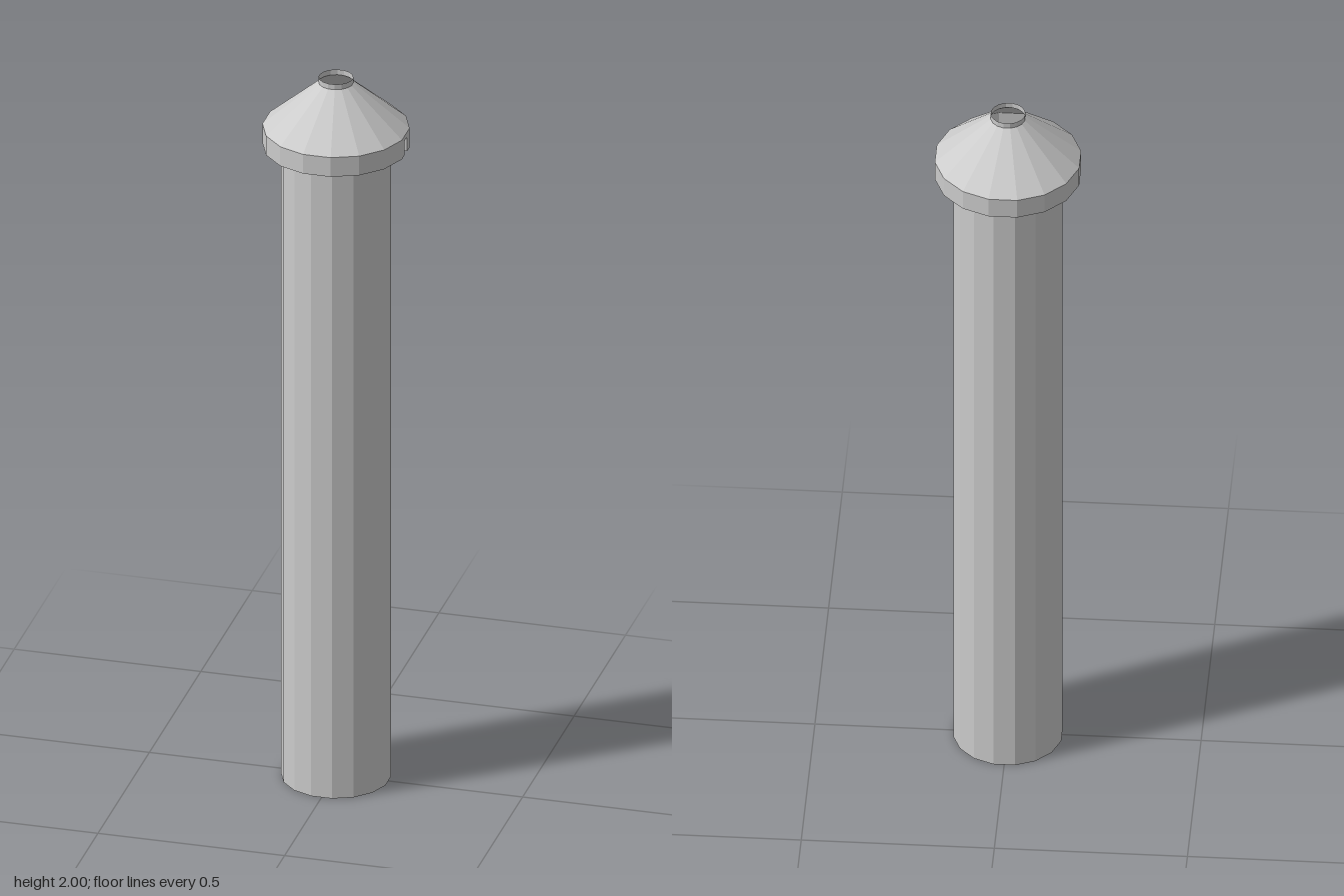
import * as THREE from 'three';

const SIDES = 16;
const STEP = (Math.PI * 2) / SIDES;

export function createModel() {
  const group = new THREE.Group();
  const material = new THREE.MeshStandardMaterial({
    color: 0xcccccc, flatShading: true, side: THREE.DoubleSide,
  });

  const add = (name, geometry) => {
    const mesh = new THREE.Mesh(geometry, material);
    mesh.name = name;
    group.add(mesh);
  };
  // Faceted ring from [radius, height] points, with flats facing the axes
  const ring = (name, profile, start = STEP / 2, count = SIDES) => {
    const points = profile.map(([r, y]) => new THREE.Vector2(r, y));
    const lathe = new THREE.LatheGeometry(points, count, start, count * STEP).toNonIndexed();
    lathe.computeVertexNormals();
    add(name, lathe);
  };

  // Hollow shaft, open at the bottom
  ring('shaft', [[0.1425, 0], [0.1425, 1.805]]);

  // Rim of the cap: underside and band, leaving out the facet facing +x
  ring('capRim', [[0.1425, 1.805], [0.1905, 1.805], [0.1905, 1.86]], STEP * 4.5, SIDES - 1);

  // Sloping cap and the short open neck above it
  ring('capCone', [[0.1905, 1.86], [0.045, 1.985]]);
  ring('neck', [[0.045, 1.985], [0.045, 2]]);

  // Missing rim facet, with a small round-topped notch cut from its lower edge
  const half = 0.0372, notch = 0.014;
  const panel = new THREE.Shape();
  panel.moveTo(-half, 1.805);
  panel.lineTo(-notch, 1.805);
  panel.lineTo(-notch, 1.838);
  panel.quadraticCurveTo(-notch, 1.847, 0, 1.847);
  panel.quadraticCurveTo(notch, 1.847, notch, 1.838);
  panel.lineTo(notch, 1.805);
  panel.lineTo(half, 1.805);
  panel.lineTo(half, 1.86);
  panel.lineTo(-half, 1.86);
  panel.closePath();
  const notched = new THREE.ExtrudeGeometry(panel, { depth: 0.0472, bevelEnabled: false, curveSegments: 4 });
  notched.rotateY(Math.PI / 2).translate(0.1396, 0, 0);
  add('notchedRimPanel', notched);

  return group;
}
